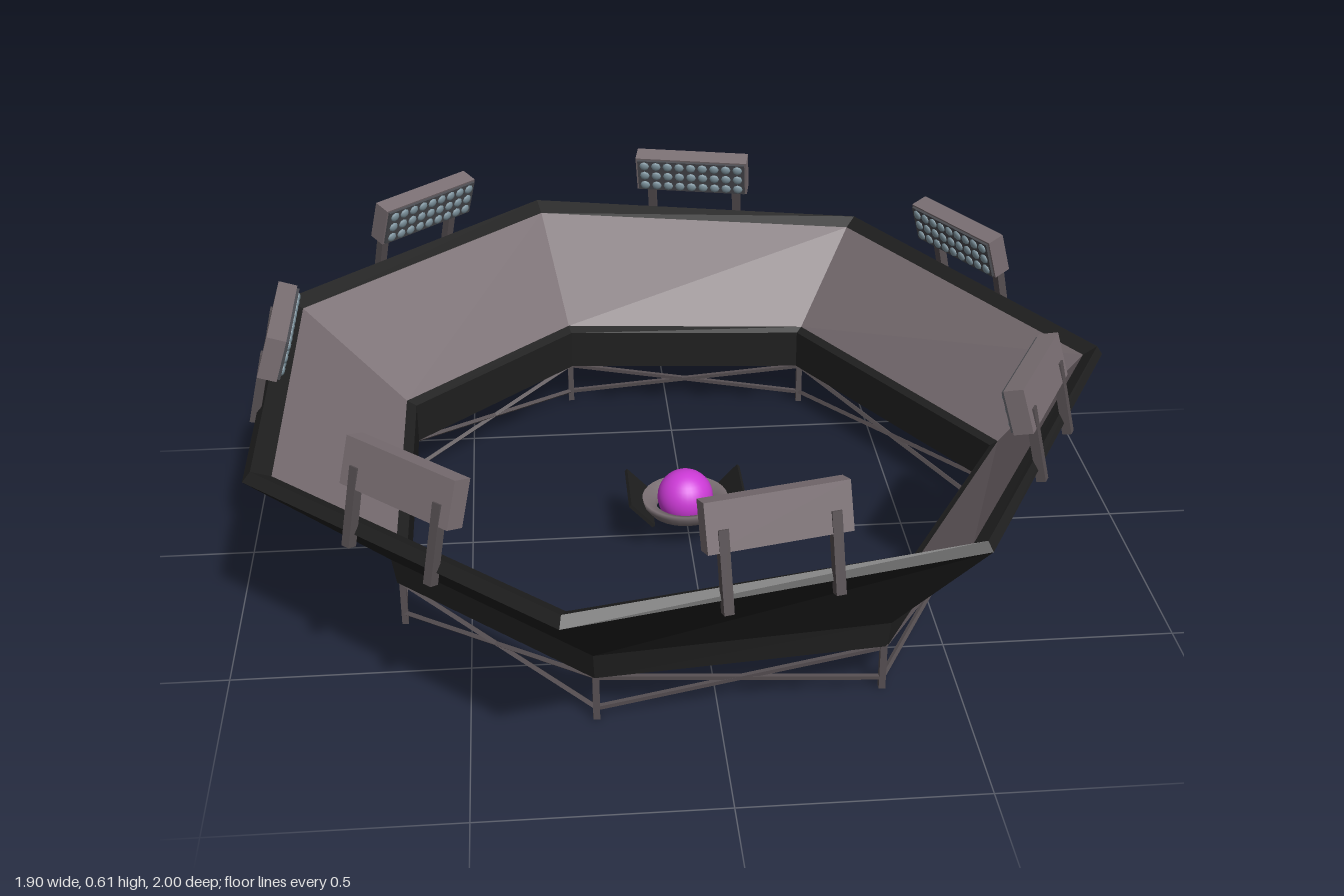
import * as THREE from 'three';
import { mergeGeometries } from 'three/addons/utils/BufferGeometryUtils.js';

const mat = (name, color, side = THREE.FrontSide) => {
  const m = new THREE.MeshStandardMaterial({ color, side });
  m.name = name;
  return m;
};

// corners of the seven-sided ring: foot of the wall and top of the wall, as [x, z]
const LOW = [[0.72, 0], [0.35, 0.645], [-0.25, 0.705], [-0.655, 0.32],
  [-0.655, -0.32], [-0.25, -0.705], [0.35, -0.645]];
const HIGH = [[0.94, 0], [0.51, 0.81], [-0.32, 1], [-0.94, 0.42],
  [-0.94, -0.42], [-0.32, -1], [0.51, -0.81]];
const N = LOW.length;

// point on corner i; t runs from the foot (0) to the top (1) of the wall
const corner = (i, t, y) => {
  const a = LOW[i % N], b = HIGH[i % N];
  return new THREE.Vector3(a[0] + (b[0] - a[0]) * t, y, a[1] + (b[1] - a[1]) * t);
};

// flat-shaded band swept around the ring through a [t, y] profile
function band(profile) {
  const pos = [];
  for (let k = 0; k < profile.length - 1; k++) {
    for (let i = 0; i < N; i++) {
      const a = corner(i, ...profile[k]), b = corner(i, ...profile[k + 1]);
      const c = corner(i + 1, ...profile[k]), d = corner(i + 1, ...profile[k + 1]);
      for (const p of [a, b, c, b, d, c]) pos.push(p.x, p.y, p.z);
    }
  }
  const g = new THREE.BufferGeometry();
  g.setAttribute('position', new THREE.Float32BufferAttribute(pos, 3));
  g.computeVertexNormals();
  return g;
}

// square bar between two points
function bar(a, b, width) {
  const g = new THREE.BoxGeometry(width, a.distanceTo(b), width);
  const dir = b.clone().sub(a).normalize();
  g.applyQuaternion(new THREE.Quaternion().setFromUnitVectors(new THREE.Vector3(0, 1, 0), dir));
  const mid = a.clone().add(b).multiplyScalar(0.5);
  return g.translate(mid.x, mid.y, mid.z);
}

export function createModel() {
  const black = mat('black shell', 0x1f1f1f);
  const grey = mat('warm grey', 0x7a6f73);
  const steel = mat('dark steel', 0x554e51);
  const glass = mat('lamp glass', 0x8298a3);
  const dark = mat('lamp backing', 0x4a4b50);
  const purple = mat('purple core', 0xcc3ad6);

  const root = new THREE.Group();
  const add = (parent, name, geometry, material) => {
    const m = new THREE.Mesh(geometry, material);
    m.name = name;
    parent.add(m);
    return m;
  };

  // stand: outer wall with rim, seating slope, inner parapet and underside
  add(root, 'outerWallAndRim',
    band([[0, 0.105], [0.03, 0.165], [1, 0.425], [0.94, 0.445], [0.8, 0.425]]), black);
  add(root, 'seatingSlope', band([[0.8, 0.425], [-0.02, 0.21]]), grey);
  add(root, 'innerParapet',
    band([[-0.02, 0.21], [-0.1, 0.2], [-0.1, 0.105], [0, 0.105]]), black);

  // corner legs with crossed braces between them
  const frame = [];
  for (let i = 0; i < N; i++) {
    const top = corner(i, -0.04, 0.11), foot = corner(i, -0.04, 0);
    const nextTop = corner(i + 1, -0.04, 0.1), nextFoot = corner(i + 1, -0.04, 0.025);
    frame.push(bar(foot, top, 0.014));
    frame.push(bar(corner(i, -0.04, 0.1), nextFoot, 0.009));
    frame.push(bar(corner(i, -0.04, 0.025), nextTop, 0.009));
  }
  add(root, 'supportFrame', mergeGeometries(frame), steel);

  // floodlights: one above the middle of each side, facing inward and down
  const lensParts = [];
  for (let c = 0; c < 9; c++) {
    for (let r = 0; r < 3; r++) {
      const g = new THREE.SphereGeometry(0.0125, 8, 4, 0, Math.PI * 2, 0, Math.PI / 2);
      g.scale(1, 0.5, 1).rotateX(Math.PI / 2);
      lensParts.push(g.translate((c - 4) * 0.03, (r - 1) * 0.03, 0.027));
    }
  }
  const lenses = mergeGeometries(lensParts);
  for (let i = 0; i < N; i++) {
    const a = corner(i, 1, 0), b = corner(i + 1, 1, 0);
    const light = new THREE.Group();
    light.name = 'floodlight' + (i + 1);
    light.position.copy(a).add(b).multiplyScalar(0.5);
    light.rotation.y = Math.atan2(a.z - b.z, b.x - a.x) + Math.PI;
    // turn the lamp so that its face looks into the ring
    const face = new THREE.Vector3(Math.sin(light.rotation.y), 0, Math.cos(light.rotation.y));
    if (face.dot(light.position) > 0) light.rotation.y += Math.PI;
    for (const s of [-1, 1]) {
      add(light, 'lampPost', bar(new THREE.Vector3(s * 0.11, 0.4, -0.008),
        new THREE.Vector3(s * 0.11, 0.56, 0.03), 0.02), steel);
    }
    const head = new THREE.Group();
    head.name = 'lampHead';
    head.position.set(0, 0.56, 0.046);
    head.rotation.x = 0.3;
    add(head, 'lampHousing', new THREE.BoxGeometry(0.285, 0.098, 0.042), grey);
    add(head, 'lampPanel', new THREE.BoxGeometry(0.275, 0.09, 0.006).translate(0, 0, 0.024), dark);
    add(head, 'lampLenses', lenses, glass);
    light.add(head);
    root.add(light);
  }

  // floating core: ball in a collar between two raised wings
  const core = new THREE.Group();
  core.name = 'core';
  core.position.set(-0.008, 0.1, 0);
  add(core, 'ball', new THREE.SphereGeometry(0.064, 32, 20), purple);
  const collar = [[0.066, -0.03], [0.085, -0.03], [0.102, -0.008], [0.098, 0], [0.07, -0.012], [0.066, -0.03]];
  add(core, 'collar',
    new THREE.LatheGeometry(collar.map(p => new THREE.Vector2(...p)), 32), grey);
  for (const s of [-1, 1]) {
    const wing = add(core, 'wing', new THREE.BoxGeometry(0.078, 0.008, 0.165), black);
    wing.position.set(s * 0.105, 0, 0);
    wing.rotation.z = s * 0.82;
  }
  root.add(core);

  return root;
}
